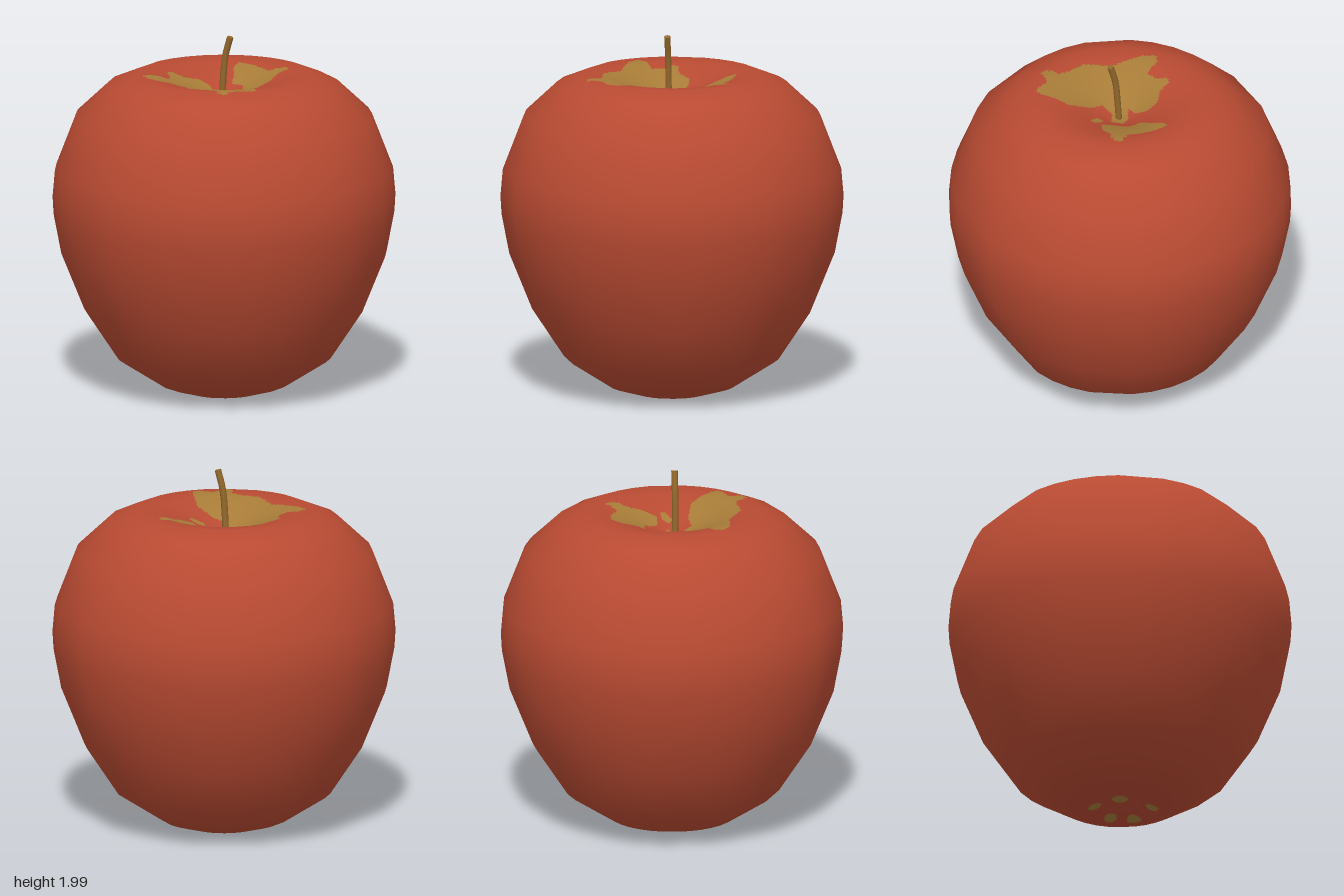
import * as THREE from 'three';

const skin = new THREE.MeshStandardMaterial({ color: 0xb84a32 });
skin.name = 'red skin';
const russet = new THREE.MeshStandardMaterial({ color: 0xa87c38 });
russet.name = 'tan russet';
const wood = new THREE.MeshStandardMaterial({ color: 0x94692c });
wood.name = 'brown stem';

// Half section of the fruit [radius, height], from the bottom hollow to the top hollow
const PROFILE = [
  [0, 0.07], [0.1, 0.04], [0.2, 0.005], [0.35, 0.05], [0.59, 0.205], [0.765, 0.47],
  [0.89, 0.78], [0.932, 1.0], [0.938, 1.1], [0.925, 1.25], [0.81, 1.55], [0.635, 1.715],
  [0.48, 1.778], [0.35, 1.765], [0.2, 1.71], [0.08, 1.655], [0, 1.63],
];

// Outlines of the tan patches on the top [x, z]
const PATCHES = [
  [[-0.17, -0.31], [-0.08, -0.33], [0, -0.32], [0.05, -0.31], [0.12, -0.39], [0.155, -0.35], [0.14, -0.25],
    [0.16, -0.2], [0.14, -0.1], [0.07, -0.09], [0, -0.15], [-0.07, -0.14], [-0.11, -0.2], [-0.17, -0.26]],
  [[-0.31, 0.09], [-0.24, 0.05], [-0.21, -0.02], [-0.14, -0.04], [-0.09, -0.01], [-0.06, 0.05], [-0.04, -0.02],
    [0, -0.07], [0.06, -0.03], [0.03, 0.04], [0.07, 0.1], [0.15, 0.07], [0.27, 0.07], [0.35, 0.13],
    [0.42, 0.19], [0.4, 0.23], [0.33, 0.27], [0.34, 0.37], [0.3, 0.37], [0.25, 0.32], [0.17, 0.34],
    [0.09, 0.37], [0.02, 0.35], [-0.06, 0.32], [-0.15, 0.34], [-0.24, 0.35], [-0.31, 0.32], [-0.3, 0.27],
    [-0.22, 0.21], [-0.26, 0.15], [-0.31, 0.13]],
  [[0.11, -0.03], [0.13, -0.07], [0.18, -0.09], [0.19, -0.06], [0.14, -0.02]],
  [[0.455, 0.44], [0.49, 0.44], [0.48, 0.475]],
];

// Small tan spots in the bottom hollow [x, z, radius]
const SPOTS = [[0.167, 0.05, 0.035], [0.134, -0.127, 0.04], [0.01, -0.165, 0.035], [-0.118, -0.076, 0.035], [0, 0, 0.045]];

function inside(poly, x, z) {
  let hit = false;
  poly.forEach(([ax, az], i) => {
    const [bx, bz] = poly[(i + 1) % poly.length];
    if ((az > z) !== (bz > z) && x < ax + ((z - az) / (bz - az)) * (bx - ax)) hit = !hit;
  });
  return hit;
}

function isRusset(x, y, z) {
  if (y > 1.6) return PATCHES.some((p) => inside(p, x, z));
  return y < 0.1 && SPOTS.some(([sx, sz, r]) => Math.hypot(x - sx, z - sz) < r);
}

// Rings: each profile point with its smooth normal, divided finely inside the two hollows
function makeRings() {
  const last = PROFILE.length - 1;
  const points = PROFILE.map(([r, y], i) => {
    const normal = new THREE.Vector2();
    for (const k of [i - 1, i]) {
      if (k < 0 || k >= last) continue;
      const dr = PROFILE[k + 1][0] - PROFILE[k][0];
      const dy = PROFILE[k + 1][1] - PROFILE[k][1];
      normal.add(new THREE.Vector2(dy, -dr).normalize());
    }
    if (r === 0) normal.x = 0;
    normal.normalize();
    return { r, y, nr: normal.x, ny: normal.y };
  });
  const rings = [];
  for (let i = 0; i < last; i++) {
    const a = points[i], b = points[i + 1];
    const hollow = Math.max(a.r, b.r) < 0.7 && (a.y > 1.6 || b.y < 0.1);
    const steps = hollow ? Math.ceil(Math.abs(b.r - a.r) / 0.012) : 1;
    for (let s = 0; s < steps; s++) {
      const ring = {};
      for (const key in a) ring[key] = THREE.MathUtils.lerp(a[key], b[key], s / steps);
      rings.push(ring);
    }
  }
  rings.push(points[last]);
  return rings;
}

// Columns: slightly uneven flat sides, each divided along its chord
function makeColumns() {
  const skipped = [3, 9, 14, 25, 31];
  const corners = [];
  for (let k = 0; k <= 32; k++) {
    if (!skipped.includes(k)) corners.push([Math.sin((k * Math.PI) / 16), Math.cos((k * Math.PI) / 16)]);
  }
  const columns = [];
  for (let i = 0; i < corners.length - 1; i++) {
    for (let s = 0; s < 6; s++) {
      columns.push([0, 1].map((c) => THREE.MathUtils.lerp(corners[i][c], corners[i + 1][c], s / 6)));
    }
  }
  columns.push(corners[0]);
  return columns;
}

function makeFruit() {
  const rings = makeRings(), columns = makeColumns();
  const position = [], normal = [], red = [], tan = [];
  for (const { r, y, nr, ny } of rings) {
    for (const [sx, sz] of columns) {
      position.push(r * sx, y, r * sz);
      const n = new THREE.Vector3(nr * sx, ny, nr * sz).normalize();
      normal.push(n.x, n.y, n.z);
    }
  }
  const n = columns.length;
  const addFace = (...face) => {
    const [x, y, z] = [0, 1, 2].map((c) => face.reduce((sum, v) => sum + position[v * 3 + c], 0) / 3);
    (isRusset(x, y, z) ? tan : red).push(...face);
  };
  for (let i = 0; i < rings.length - 1; i++) {
    for (let j = 0; j < n - 1; j++) {
      const a = i * n + j, d = a + n;
      if (rings[i].r > 0) addFace(a, a + 1, d + 1);
      if (rings[i + 1].r > 0) addFace(a, d + 1, d);
      else addFace(a, a + 1, d);
    }
  }
  const geometry = new THREE.BufferGeometry();
  geometry.setAttribute('position', new THREE.Float32BufferAttribute(position, 3));
  geometry.setAttribute('normal', new THREE.Float32BufferAttribute(normal, 3));
  geometry.setIndex([...red, ...tan]);
  geometry.addGroup(0, red.length, 0);
  geometry.addGroup(red.length, tan.length, 1);
  const fruit = new THREE.Mesh(geometry, [skin, russet]);
  fruit.name = 'fruit';
  return fruit;
}

// Curved stem with a cut end
function makeStem() {
  const curve = new THREE.CatmullRomCurve3([
    new THREE.Vector3(0, 1.6, 0.015), new THREE.Vector3(0.01, 1.76, 0.017),
    new THREE.Vector3(0.022, 1.88, 0.014), new THREE.Vector3(0.053, 1.993, 0.007),
  ]);
  const stem = new THREE.Group();
  stem.name = 'stem';
  const shaft = new THREE.Mesh(new THREE.TubeGeometry(curve, 10, 0.018, 8), wood);
  shaft.name = 'stemShaft';
  const end = new THREE.Mesh(new THREE.CircleGeometry(0.018, 8), wood);
  end.name = 'stemEnd';
  end.position.copy(curve.getPoint(1));
  end.quaternion.setFromUnitVectors(new THREE.Vector3(0, 0, 1), curve.getTangent(1));
  stem.add(shaft, end);
  return stem;
}

export function createModel() {
  const model = new THREE.Group();
  model.name = 'apple';
  model.add(makeFruit(), makeStem());
  return model;
}
